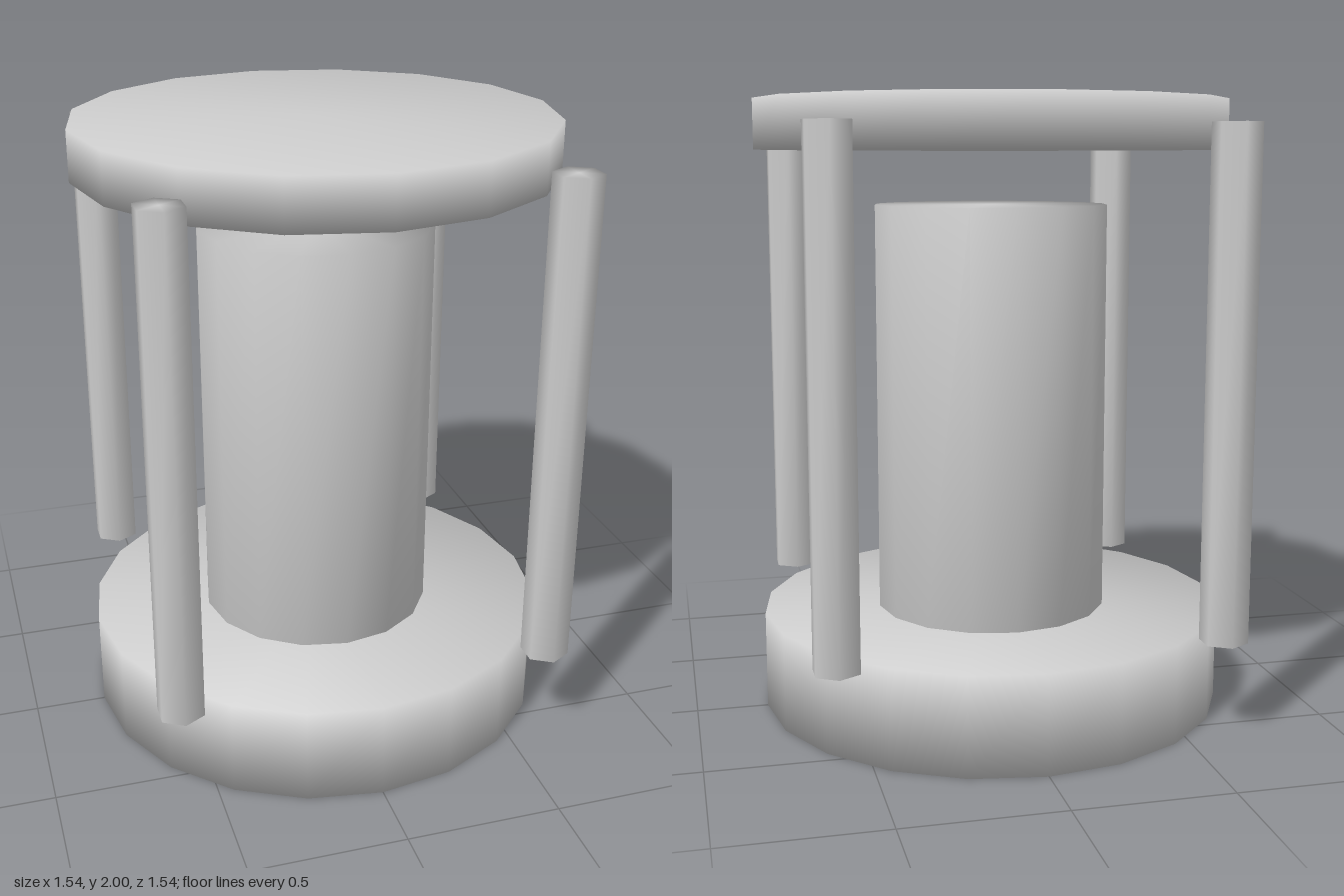
import * as THREE from 'three';
import { mergeVertices } from 'three/addons/utils/BufferGeometryUtils.js';

const lightGrey = new THREE.MeshStandardMaterial({ color: 0xcccccc });
lightGrey.name = 'lightGrey';

// Cylinder from y0 to y1, with normals smoothed across the rims
function smoothCylinder(name, radius, y0, y1, sides) {
  let geometry = new THREE.CylinderGeometry(radius, radius, y1 - y0, sides);
  geometry.translate(0, (y0 + y1) / 2, 0);
  geometry.deleteAttribute('normal');
  geometry.deleteAttribute('uv');
  geometry = mergeVertices(geometry);
  geometry.computeVertexNormals();
  const mesh = new THREE.Mesh(geometry, lightGrey);
  mesh.name = name;
  return mesh;
}

export function createModel() {
  const model = new THREE.Group();
  model.name = 'pillaredPedestal';

  // Round base, central column and floating roof disc
  model.add(
    smoothCylinder('base', 0.768, 0, 0.32, 20),
    smoothCylinder('core', 0.384, 0.32, 1.664, 16),
    smoothCylinder('roof', 0.768, 1.84, 2, 16),
  );

  // Four hexagonal posts at the corners
  for (const x of [-1, 1]) {
    for (const z of [-1, 1]) {
      const side = (z > 0 ? 'front' : 'back') + (x > 0 ? 'Left' : 'Right');
      const post = smoothCylinder(side + 'Post', 0.077, 0.32, 1.92, 6);
      post.position.set(x * 0.608, 0, z * 0.608);
      model.add(post);
    }
  }
  return model;
}
